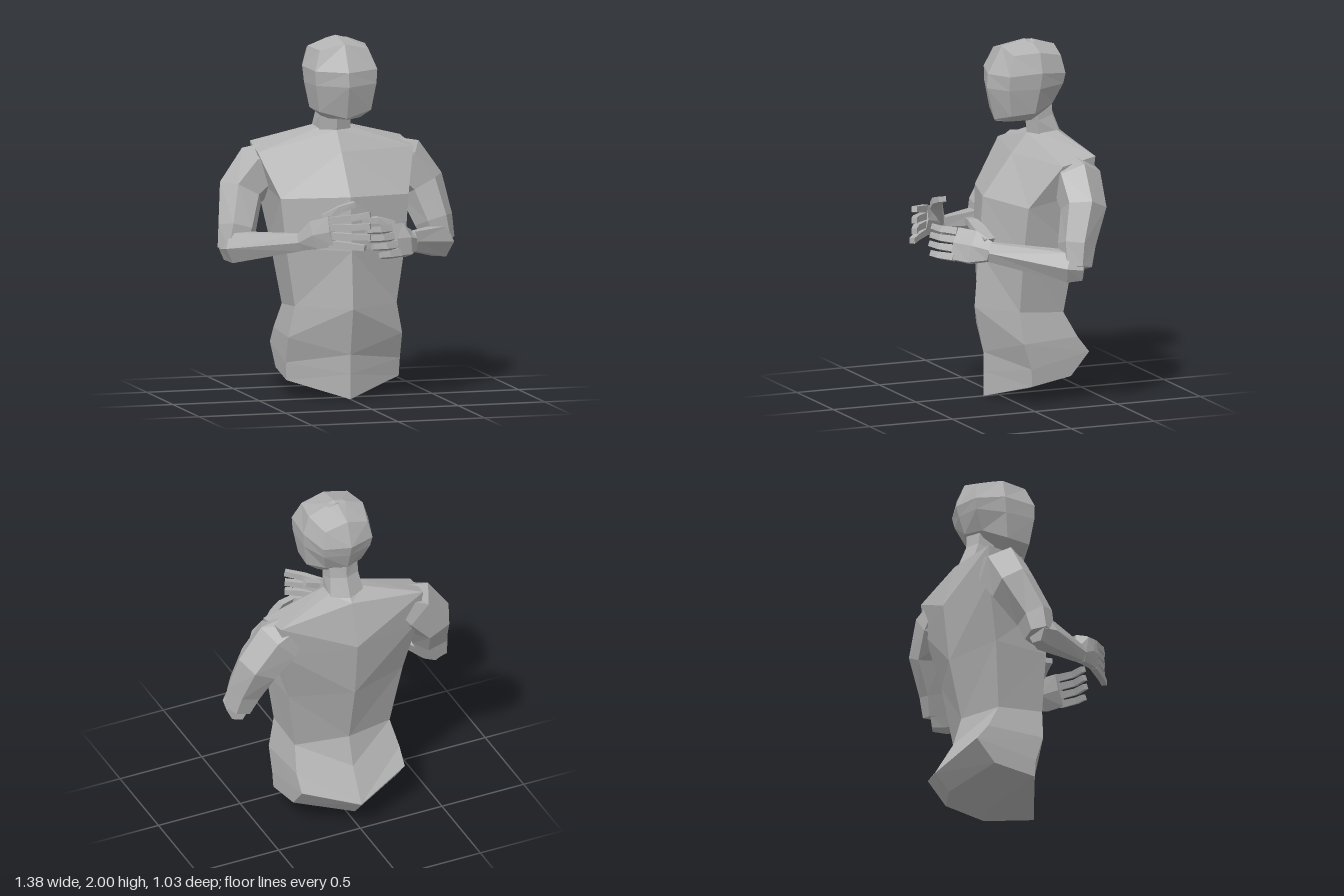
import * as THREE from 'three';

const grey = new THREE.MeshStandardMaterial({ color: 0xb2b2b2 });
grey.name = 'plain grey';

// Faceted skin over closed rings (counterclockwise about the growth direction)
function loft(name, rings) {
  const pos = [], n = rings[0].length;
  const tri = (a, b, c) => pos.push(...a, ...b, ...c);
  for (let i = 0; i < rings.length - 1; i++) {
    for (let j = 0; j < n; j++) {
      const k = (j + 1) % n, lo = rings[i], hi = rings[i + 1];
      if (j < n / 2) { // diagonals mirror across the ring
        tri(lo[j], lo[k], hi[j]);
        tri(lo[k], hi[k], hi[j]);
      } else {
        tri(lo[j], lo[k], hi[k]);
        tri(lo[j], hi[k], hi[j]);
      }
    }
  }
  const cap = (ring, flip) => {
    const c = [0, 1, 2].map(a => ring.reduce((s, p) => s + p[a], 0) / n);
    ring.forEach((p, j) => {
      const q = ring[(j + 1) % n];
      flip ? tri(c, q, p) : tri(c, p, q);
    });
  };
  cap(rings[0], true);
  cap(rings[rings.length - 1], false);
  const geo = new THREE.BufferGeometry();
  geo.setAttribute('position', new THREE.Float32BufferAttribute(pos, 3));
  geo.computeVertexNormals();
  const mesh = new THREE.Mesh(geo, grey);
  mesh.name = name;
  return mesh;
}

// Each half ring runs from front centre over the +x side to back centre
function symmetric(name, halves) {
  return loft(name, halves.map(h =>
    [...h, ...h.slice(1, -1).reverse().map(([x, y, z]) => [-x, y, z])]));
}

// Limb along stations [x, y, z, halfWidth, halfHeight]; height follows ref
function limb(name, stations, ref, sides) {
  const pts = stations.map(s => new THREE.Vector3(s[0], s[1], s[2]));
  const phase = sides === 4 ? Math.PI / 4 : 0, grow = sides === 4 ? Math.SQRT2 : 1.06;
  return loft(name, stations.map((s, i) => {
    const t = pts[Math.min(i + 1, pts.length - 1)].clone().sub(pts[Math.max(i - 1, 0)]).normalize();
    const v = ref.clone().addScaledVector(t, -ref.dot(t)).normalize();
    const u = v.clone().cross(t);
    return Array.from({ length: sides }, (_, j) => {
      const a = phase + j / sides * Math.PI * 2;
      return pts[i].clone()
        .addScaledVector(u, Math.cos(a) * s[3] * grow)
        .addScaledVector(v, Math.sin(a) * s[4] * grow).toArray();
    });
  }));
}

const UP = new THREE.Vector3(0, 1, 0), FRONT = new THREE.Vector3(0, 0, 1);

function makeArm(side, pose) {
  const arm = new THREE.Group();
  arm.name = side > 0 ? 'leftArm' : 'rightArm';
  const flip = list => list.map(([x, ...rest]) => [x * side, ...rest]);
  const ey = pose.elbowY, ez = pose.elbowZ;

  arm.add(limb('upperArm', flip([
    [0.28, 1.36, -0.295, 0.06, 0.1], [0.405, 1.265, -0.295, 0.145, 0.128],
    [0.522, 1.13, -0.285, 0.127, 0.12], [0.575, 0.94, ez - 0.015, 0.105, 0.098],
    [0.61, 0.82, ez, 0.08, 0.08],
  ]), FRONT, 6));
  arm.add(limb('forearm', flip([
    [0.63, ey - 0.01, ez - 0.035, 0.055, 0.07], [0.595, ey, ez + 0.03, 0.082, 0.092], pose.wrist,
  ]), UP, 6));

  // Hand, leaning by the pose's tilt
  const lean = new THREE.Vector3(-side * pose.tilt, 1, -pose.tilt);
  arm.add(limb('palm', flip([pose.wrist, ...pose.palm]), lean, 6));
  arm.add(limb('thumb', flip(pose.thumb), UP, 4));
  pose.fingerY.forEach(([y0, y1], i) => {
    const drift = (i - 1.5) * 0.045 * pose.tilt;
    const path = pose.finger.map(([x, z], k) =>
      [x + drift, y0 + (y1 - y0) * k / 2, z + drift, 0.019 - 0.002 * k, 0.02 - 0.002 * k]);
    if (i === 3) path[2][0] += 0.03;
    arm.add(limb('finger' + (i + 1), flip(path), lean, 4));
  });
  return arm;
}

export function createModel() {
  const model = new THREE.Group();
  model.name = 'upperBodyFigure';

  // Torso, from the pelvis keel to the base of the neck
  model.add(symmetric('torso', [
    [[0, 0, 0.09], [0, 0.02, -0.18], [0, 0.07, -0.43], [0, 0.165, -0.515]],
    [[0, 0, 0.09], [0.325, 0.1, -0.06], [0.315, 0.14, -0.3], [0, 0.165, -0.515]],
    [[0, 0.14, 0.09], [0.33, 0.2, -0.055], [0.315, 0.27, -0.41], [0, 0.17, -0.515]],
    [[0, 0.25, 0.092], [0.33, 0.345, -0.01], [0.315, 0.36, -0.34], [0, 0.36, -0.405]],
    [[0, 0.51, 0.145], [0.295, 0.52, 0], [0.29, 0.5, -0.265], [0, 0.53, -0.355]],
    [[0, 0.83, 0.12], [0.345, 0.85, 0], [0.35, 0.87, -0.31], [0, 0.87, -0.43]],
    [[0, 1.13, 0.095], [0.37, 1.12, -0.02], [0.41, 1.2, -0.38], [0, 1.2, -0.467]],
    [[0, 1.36, -0.08], [0.45, 1.36, -0.195], [0.435, 1.4, -0.395], [0, 1.45, -0.395]],
    [[0, 1.47, -0.17], [0.1, 1.48, -0.22], [0.1, 1.49, -0.31], [0, 1.5, -0.335]],
  ]));

  // Neck
  model.add(symmetric('neck', [
    [[0, 1.44, -0.175], [0.09, 1.45, -0.21], [0.1, 1.47, -0.33], [0, 1.47, -0.37]],
    [[0, 1.54, -0.165], [0.09, 1.55, -0.2], [0.085, 1.58, -0.29], [0, 1.58, -0.325]],
    [[0, 1.64, -0.15], [0.09, 1.65, -0.19], [0.085, 1.68, -0.28], [0, 1.68, -0.32]],
  ]));

  // Head, with a flat mask-like face
  model.add(symmetric('head', [
    [[0, 1.552, 0.02], [0.09, 1.56, -0.02], [0.1, 1.56, -0.15], [0.07, 1.6, -0.25], [0, 1.62, -0.28]],
    [[0, 1.56, 0.025], [0.15, 1.6, -0.01], [0.165, 1.61, -0.15], [0.11, 1.65, -0.28], [0, 1.66, -0.335]],
    [[0, 1.74, 0.07], [0.175, 1.75, 0.01], [0.19, 1.75, -0.17], [0.14, 1.76, -0.33], [0, 1.76, -0.37]],
    [[0, 1.82, 0.065], [0.18, 1.83, 0.01], [0.198, 1.84, -0.18], [0.15, 1.82, -0.34], [0, 1.82, -0.387]],
    [[0, 1.97, -0.02], [0.14, 1.94, -0.03], [0.165, 1.95, -0.18], [0.13, 1.92, -0.32], [0, 1.96, -0.335]],
    [[0, 2, -0.16], [0.05, 1.99, -0.16], [0.06, 1.99, -0.18], [0.05, 1.988, -0.2], [0, 2, -0.2]],
  ]));

  // The two arms hold slightly different poses
  model.add(makeArm(1, {
    elbowY: 0.825, elbowZ: -0.205, tilt: 0.3,
    wrist: [0.32, 0.885, 0.19, 0.04, 0.058],
    palm: [[0.26, 0.905, 0.265, 0.042, 0.1], [0.17, 0.915, 0.335, 0.03, 0.1]],
    thumb: [[0.29, 0.93, 0.19, 0.035, 0.03], [0.2, 0.99, 0.21, 0.038, 0.022], [0.12, 1.015, 0.21, 0.028, 0.018], [0.03, 1.01, 0.195, 0.022, 0.015]],
    finger: [[0.18, 0.335], [0.1, 0.395], [0.02, 0.415]],
    fingerY: [[0.98, 0.985], [0.935, 0.94], [0.89, 0.895], [0.845, 0.85]],
  }));
  model.add(makeArm(-1, {
    elbowY: 0.845, elbowZ: -0.165, tilt: 0,
    wrist: [0.32, 0.91, 0.22, 0.037, 0.052],
    palm: [[0.26, 0.96, 0.295, 0.038, 0.088], [0.19, 0.985, 0.37, 0.028, 0.092]],
    thumb: [[0.29, 0.95, 0.24, 0.035, 0.03], [0.21, 1.05, 0.285, 0.035, 0.022], [0.13, 1.1, 0.315, 0.026, 0.018], [0.045, 1.125, 0.32, 0.022, 0.015]],
    finger: [[0.2, 0.36], [0.1, 0.455], [0.01, 0.505]],
    fingerY: [[1.045, 1.09], [1.005, 1.025], [0.96, 0.965], [0.915, 0.905]],
  }));

  return model;
}
